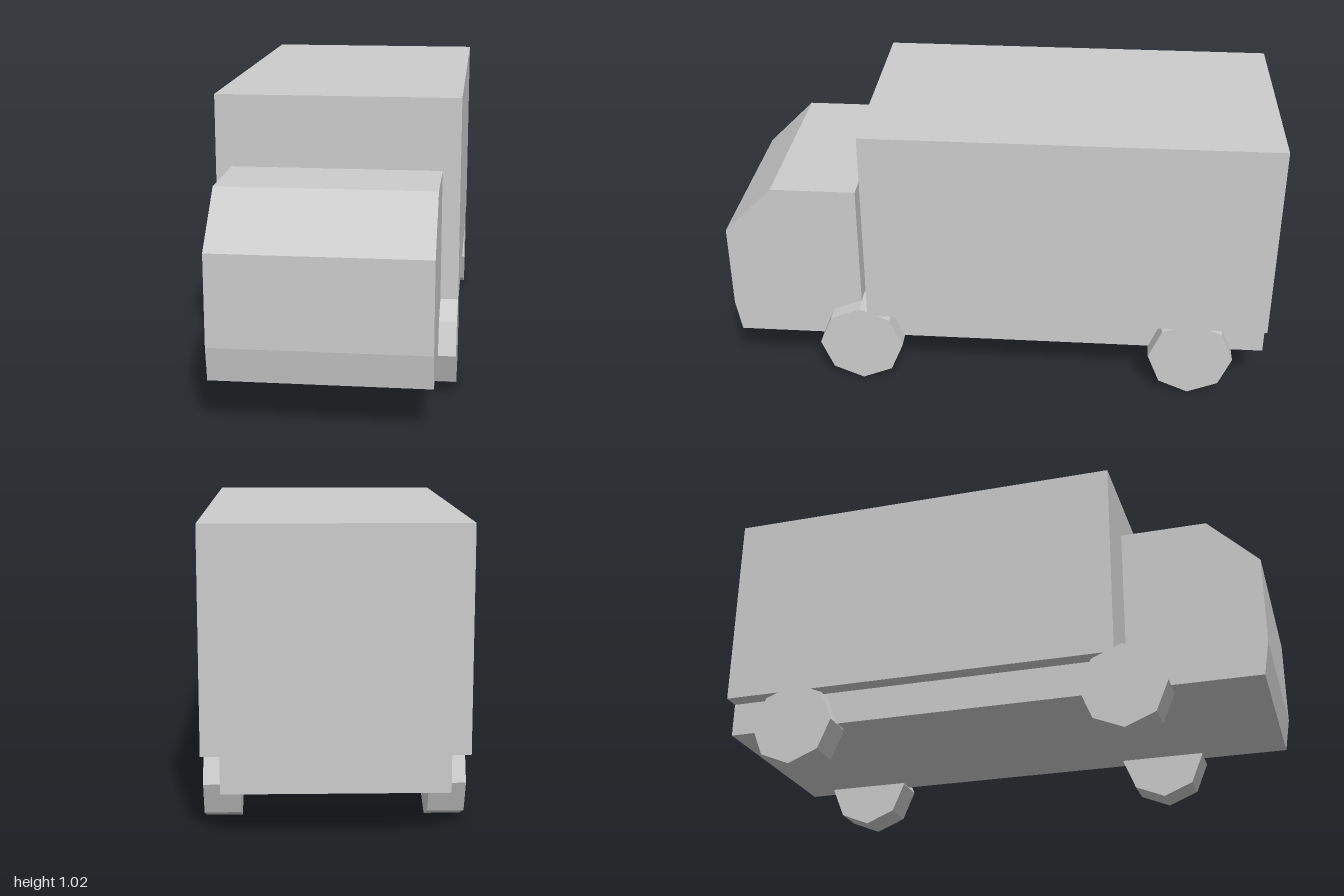
import * as THREE from 'three';

export function createModel() {
  const truck = new THREE.Group();
  truck.name = 'boxTruck';
  const grey = new THREE.MeshStandardMaterial({ color: 0xcccccc, flatShading: true });
  grey.name = 'light grey';

  function add(name, geometry, x, y, z) {
    const mesh = new THREE.Mesh(geometry, grey);
    mesh.name = name;
    mesh.position.set(x, y, z);
    truck.add(mesh);
    return mesh;
  }

  // Cab: side profile (z, y) extruded across the width
  const cabWidth = 0.74;
  const profile = [
    [0.51, 0.16], [0.98, 0.16], [1, 0.28], [1, 0.597], [0.82, 0.775], [0.51, 0.775],
  ].map(([z, y]) => new THREE.Vector2(z, y));
  const cab = new THREE.ExtrudeGeometry(new THREE.Shape(profile), {
    depth: cabWidth, bevelEnabled: false,
  });
  cab.rotateY(-Math.PI / 2);
  add('cab', cab, cabWidth / 2, 0, 0);

  // Chassis running from the cab to the tail
  add('chassis', new THREE.BoxGeometry(cabWidth, 0.125, 1.51), 0, 0.2225, -0.245);

  // Cargo box, wider than the chassis, with a gap behind the cab
  add('cargoBox', new THREE.BoxGeometry(0.864, 0.74, 1.48), 0, 0.655, -0.26);

  // Eight-sided wheels, a corner touching the ground
  const radius = 0.156;
  const wheel = new THREE.CylinderGeometry(radius, radius, 0.122, 8);
  wheel.rotateZ(Math.PI / 2);
  for (const [end, z] of [['front', 0.508], ['rear', -0.727]]) {
    for (const [side, sign] of [['Left', 1], ['Right', -1]]) {
      add(`${end}${side}Wheel`, wheel, sign * 0.371, radius, z);
    }
  }
  return truck;
}
